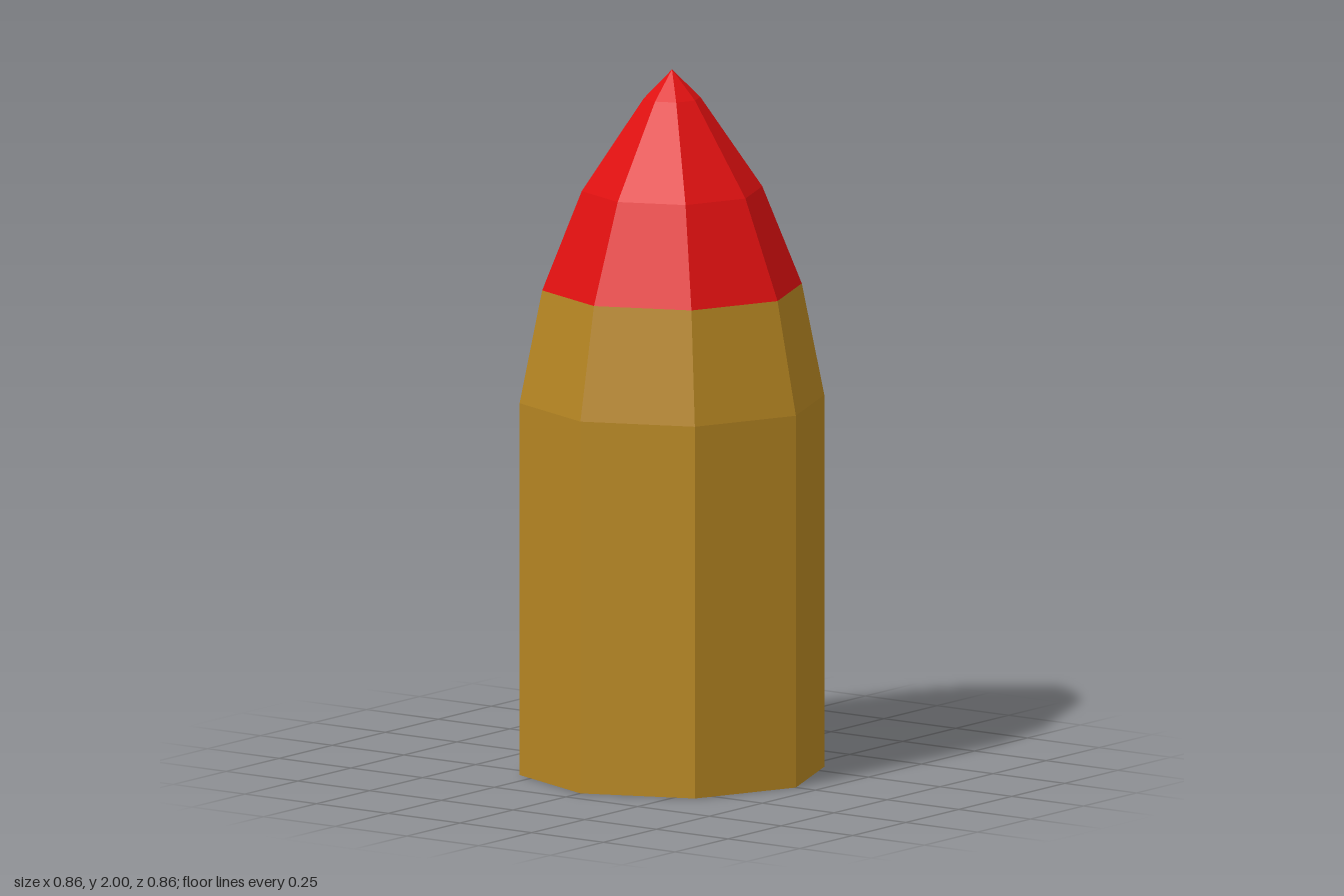
import * as THREE from 'three';

const SIDES = 8;

// Faceted solid of revolution from [radius, height] pairs, listed bottom to top
function facetedLathe(name, color, profile) {
  const points = profile.map(([r, y]) => new THREE.Vector2(r, y));
  const material = new THREE.MeshStandardMaterial({ color, flatShading: true });
  const mesh = new THREE.Mesh(new THREE.LatheGeometry(points, SIDES), material);
  mesh.name = name;
  return mesh;
}

export function createModel() {
  const model = new THREE.Group();
  model.name = 'bullet';

  // Brass casing: closed base, straight wall, tapered shoulder
  model.add(facetedLathe('casing', 0xb58522, [[0, 0], [0.432, 0], [0.432, 1.06], [0.368, 1.38]]));

  // Red tip: curves inward to a point
  model.add(facetedLathe('tip', 0xe01010, [[0.368, 1.38], [0.256, 1.66], [0.08, 1.92], [0, 2]]));

  return model;
}
